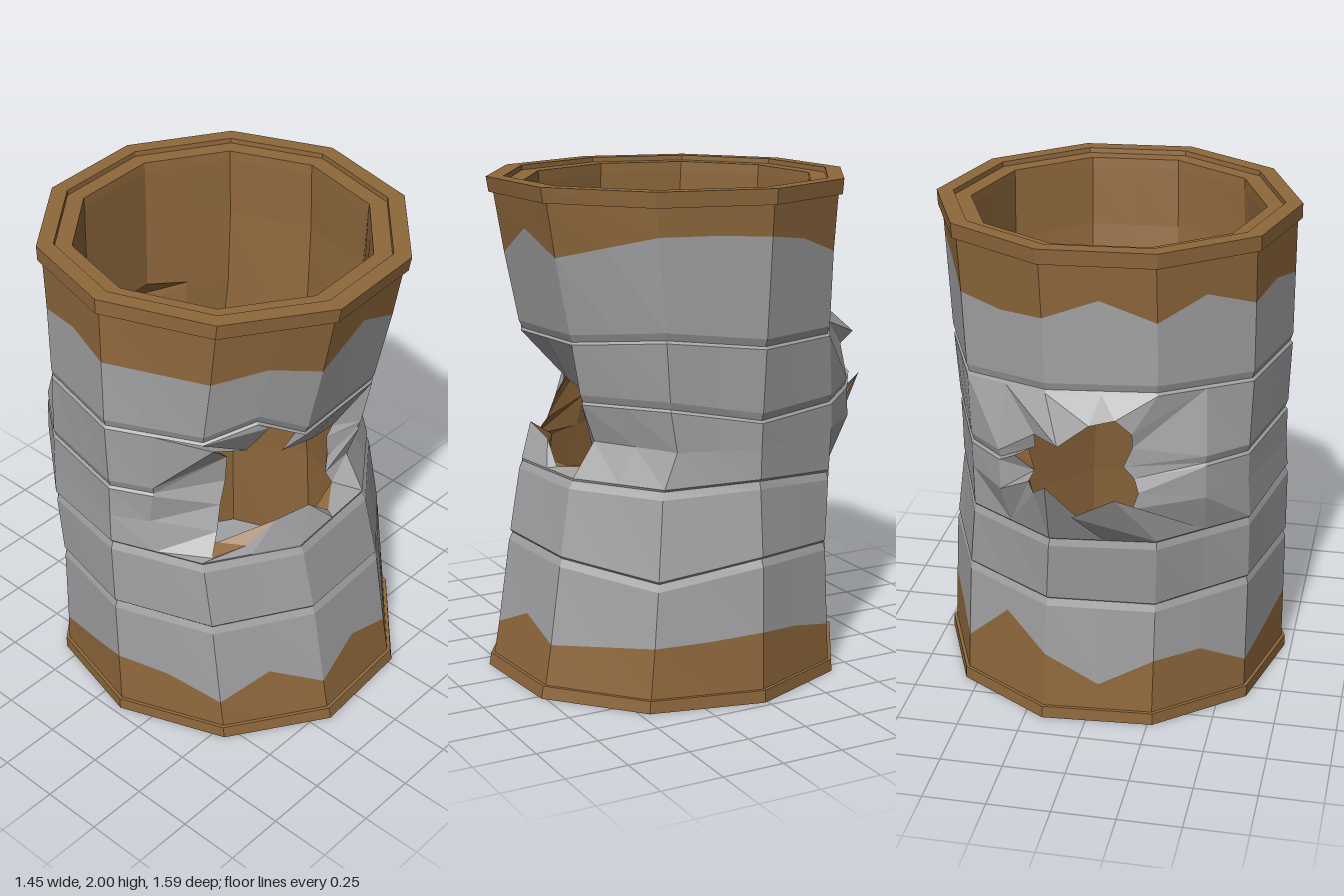
import * as THREE from 'three';

const SIDES = 10, N = 20; // ten flat facets, each split down the middle

// Outline of the dented body by height: y, +x, -x, +z, -z
const OUTLINE = [
  [0, 0.71, -0.71, 0.78, -0.625],
  [0.25, 0.70, -0.71, 0.735, -0.61],
  [0.54, 0.685, -0.71, 0.69, -0.60],
  [0.84, 0.645, -0.71, 0.63, -0.65],
  [1.00, 0.645, -0.70, 0.52, -0.66],
  [1.15, 0.65, -0.70, 0.575, -0.65],
  [1.43, 0.67, -0.71, 0.63, -0.61],
  [1.76, 0.685, -0.71, 0.70, -0.615],
  [2.00, 0.695, -0.71, 0.74, -0.635],
];

// Ragged edges of the rust, one height per column
const RUST_LOW = [0.28, 0.26, 0.25, 0.23, 0.21, 0.275, 0.18, 0.28, 0.17, 0.25,
  0.28, 0.22, 0.17, 0.28, 0.28, 0.16, 0.28, 0.40, 0.20, 0.25];
const RUST_HIGH = [1.82, 1.83, 1.83, 1.78, 1.73, 1.82, 1.70, 1.75, 1.72, 1.72,
  1.72, 1.76, 1.73, 1.80, 1.72, 1.80, 1.72, 1.70, 1.72, 1.79];

// Height wobble of each pressed groove, one value per corner
const GROOVES = {
  0.54: [0.02, -0.05, 0, 0, 0, 0.02, 0, -0.02, -0.02, -0.01],
  0.84: [0.02, 0, 0, -0.01, 0, 0.02, -0.02, -0.02, -0.03, -0.03],
  1.15: [-0.03, 0.03, 0.02, 0, 0, 0, -0.02, 0.02, 0.01, -0.03],
  1.43: [-0.02, 0.02, -0.02, -0.03, 0.02, 0.01, 0, 0.02, 0.01, -0.03],
};
const HALF = 0.02, DEPTH = 0.985; // groove half height and scale of its bottom

// Torn edges: from the lower right corner, clockwise seen from outside
const FRONT_TEAR = [
  [0.16, 0.88, 0.48], [0.03, 0.86, 0.57], [-0.08, 0.95, 0.56], [-0.27, 0.98, 0.55], [-0.38, 0.89, 0.50], [-0.50, 0.86, 0.43],
  [-0.44, 0.94, 0.40], [-0.40, 1.04, 0.38], [-0.35, 1.12, 0.36], [-0.35, 1.24, 0.37],
  [-0.48, 1.36, 0.42], [-0.33, 1.30, 0.45], [-0.33, 1.46, 0.56], [-0.15, 1.37, 0.56], [-0.16, 1.22, 0.48], [0, 1.20, 0.50],
  [0.17, 1.15, 0.46], [0.15, 1.10, 0.45], [0.16, 1.00, 0.45], [0.14, 0.93, 0.46],
];
const BACK_TEAR = [
  [-0.20, 1.00, -0.68], [-0.15, 1.08, -0.78], [0.01, 1.00, -0.79], [0.11, 1.12, -0.80], [0.18, 1.04, -0.69],
  [0.20, 1.08, -0.68], [0.18, 1.12, -0.66], [0.26, 1.17, -0.65], [0.18, 1.21, -0.64],
  [0.18, 1.27, -0.66], [0.06, 1.29, -0.80], [-0.03, 1.32, -0.66], [-0.13, 1.35, -0.66], [-0.19, 1.29, -0.64],
  [-0.19, 1.23, -0.63], [-0.16, 1.16, -0.65], [-0.20, 1.11, -0.64], [-0.22, 1.06, -0.66],
];
const TEARS = [
  { from: 4, to: 9, edge: FRONT_TEAR },
  { from: 13, to: 17, edge: BACK_TEAR },
];

function outlineAt(y) {
  let i = 0;
  while (i < OUTLINE.length - 2 && y > OUTLINE[i + 1][0]) i++;
  const a = OUTLINE[i], b = OUTLINE[i + 1], t = (y - a[0]) / (b[0] - a[0]);
  return a.map((v, n) => v + (b[n] - v) * t);
}

// Corner of the decagon; front and back halves have their own depth
function corner(k, y, s) {
  const [, xr, xl, zf, zb] = outlineAt(y);
  const a = (-4 + 360 / SIDES * k) * Math.PI / 180;
  const zc = 0.06 - 0.02 * y, sin = Math.sin(a);
  return new THREE.Vector3(
    (xr + xl) / 2 + (xr - xl) / 2 * s * Math.cos(a), y,
    zc + (sin > 0 ? zf - zc : zc - zb) * s * sin / 0.97);
}

// One ring of points; height is a number or a function of the column
function ring(height, s = 1) {
  return Array.from({ length: N }, (_, j) => {
    const y = typeof height === 'number' ? height : height(j);
    const k = Math.floor(j / 2);
    const p = corner(k, y, s);
    return j % 2 ? p.lerp(corner(k + 1, y, s), 0.5) : p;
  });
}

// Ring that follows the wobble of a groove
function grooveRing(level, offset, s = 1) {
  const d = GROOVES[level];
  return ring(j => {
    const k = Math.floor(j / 2), next = d[(k + 1) % SIDES];
    const bump = level === 1.43 && j === 7 ? 0.08 : 0;
    return level + offset + bump + (j % 2 ? (d[k] + next) / 2 : d[k]);
  }, s);
}

// Lower grooves face up, upper ones face down
const groove = level => [grooveRing(level, -HALF),
  grooveRing(level, level < 1 ? 0.01 : -0.01, DEPTH), grooveRing(level, HALF)];

const quad = (out, a, b, c, d) => out.push(a, d, c, a, c, b);

function loft(rings, skip = () => false) {
  const out = [];
  for (let r = 0; r < rings.length - 1; r++) {
    for (let j = 0; j < N; j++) {
      if (skip(j)) continue;
      const n = (j + 1) % N;
      quad(out, rings[r][j], rings[r][n], rings[r + 1][n], rings[r + 1][j]);
    }
  }
  return out;
}

// Wall band with its torn openings, as an outer or an inner skin
function tornBand(rows, inner) {
  const ordered = inner ? [...rows].reverse() : rows;
  const out = loft(ordered, j => TEARS.some(t => j >= t.from && j < t.to));
  const last = rows.length - 1;
  for (const { from, to, edge } of TEARS) {
    const loop = [];
    for (let j = from; j <= to; j++) loop.push(rows[0][j]);
    for (let r = 1; r < last; r++) loop.push(rows[r][to]);
    for (let j = to; j >= from; j--) loop.push(rows[last][j]);
    for (let r = last - 1; r > 0; r--) loop.push(rows[r][from]);
    const lip = edge.map(p => new THREE.Vector3(...p));
    loop.forEach((p, i) => {
      const n = (i + 1) % loop.length;
      if (inner) quad(out, loop[n], p, lip[i], lip[n]);
      else quad(out, p, loop[n], lip[n], lip[i]);
    });
  }
  return out;
}

export function createModel() {
  const group = new THREE.Group();
  const steel = new THREE.MeshStandardMaterial({ color: 0xa2a2a4 });
  steel.name = 'grey steel';
  const rust = new THREE.MeshStandardMaterial({ color: 0x8f683c });
  rust.name = 'brown rust';

  const add = (name, points, material) => {
    const geometry = new THREE.BufferGeometry().setFromPoints(points);
    geometry.computeVertexNormals();
    const mesh = new THREE.Mesh(geometry, material);
    mesh.name = name;
    group.add(mesh);
  };
  const rustLow = ring(j => RUST_LOW[j]), rustHigh = ring(j => RUST_HIGH[j]);

  // Rims and recessed base
  add('bottomRim', loft([ring(0.025, 0), ring(0.025, 0.92), ring(0, 0.94),
    ring(0, 1.02), ring(0.05, 1.02), ring(0.05, 1)]), rust);
  add('topRim', loft([ring(1.94, 1), ring(1.94, 1.025), ring(2, 1.025),
    ring(2, 0.93), ring(1.98, 0.93), ring(1.98, 0.83), ring(1.94, 0.83)]), rust);

  // Outer wall, pushed outwards on both sides of the rear tear
  const wall = [grooveRing(0.84, HALF), ring(1.0), ...groove(1.15), grooveRing(1.43, -HALF)];
  wall.slice(1, 5).forEach(row => {
    row[13].add(new THREE.Vector3(-0.02, 0, -0.04));
    row[17].add(new THREE.Vector3(0.02, 0, -0.06));
  });
  add('lowerRust', loft([ring(0.05), rustLow]), rust);
  add('lowerWall', loft([rustLow, ...groove(0.54), ...groove(0.84)]), steel);
  add('tornWall', tornBand(wall, false), steel);
  add('upperWall', loft([...groove(1.43), rustHigh]), steel);
  add('upperRust', loft([rustHigh, ring(1.94)]), rust);

  // Rusty lining and floor
  const s = 0.845;
  const lining = [grooveRing(0.84, HALF, s), ring(1.0, s), grooveRing(1.15, -HALF, s),
    grooveRing(1.15, 0, s), grooveRing(1.15, HALF, s), grooveRing(1.43, -HALF, s)];
  add('upperLining', loft([ring(1.94, 0.83), ring(1.7, s), lining[5]]), rust);
  add('tornLining', tornBand(lining, true), rust);
  add('lowerLining', loft([lining[0], grooveRing(0.54, 0, s), ring(0.06, s)]), rust);
  add('floor', loft([ring(0.06, s), ring(0.06, 0)]), steel);

  // Centre front to back
  const box = new THREE.Box3().setFromObject(group);
  group.children.forEach(m => m.geometry.translate(
    -(box.min.x + box.max.x) / 2, 0, -(box.min.z + box.max.z) / 2));
  return group;
}
